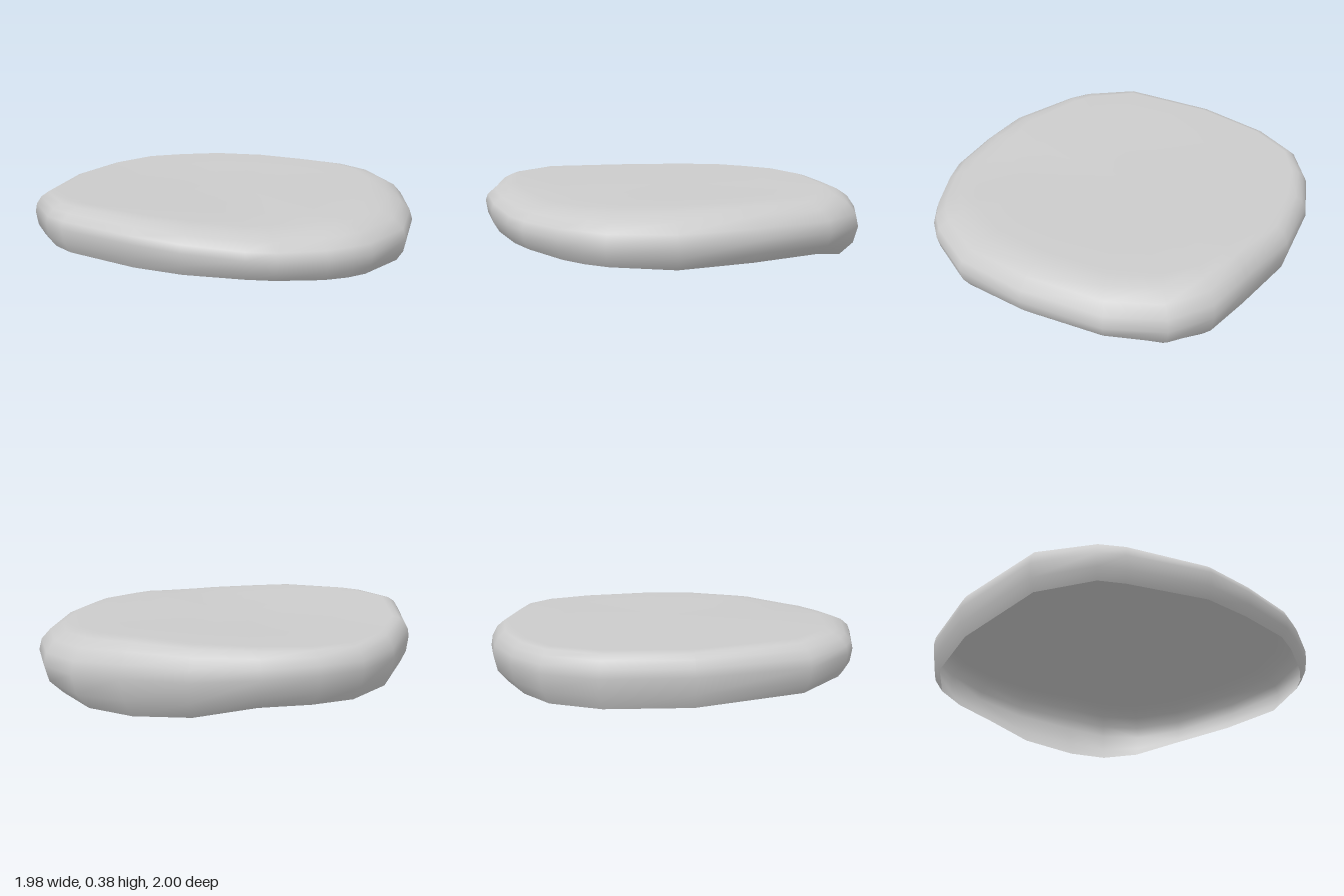
import * as THREE from 'three';

// Rim stations, counter-clockwise from the left side: x, z, widest height, lower edge height, top height
const RIM = [
  [0.985, 0.19, 0.19, 0.01, 0.36], [0.94, 0.42, 0.19, 0.04, 0.355], [0.76, 0.65, 0.2, 0.09, 0.35],
  [0.4, 0.87, 0.21, 0.1, 0.35], [0.04, 0.998, 0.21, 0.1, 0.345], [-0.27, 0.98, 0.21, 0.11, 0.34],
  [-0.38, 0.945, 0.22, 0.115, 0.34], [-0.49, 0.88, 0.22, 0.12, 0.335], [-0.67, 0.73, 0.23, 0.135, 0.335],
  [-0.76, 0.63, 0.24, 0.145, 0.34], [-0.89, 0.37, 0.26, 0.15, 0.355], [-0.97, 0.14, 0.28, 0.16, 0.37],
  [-0.99, -0.27, 0.28, 0.16, 0.38], [-0.97, -0.4, 0.28, 0.165, 0.38], [-0.82, -0.66, 0.27, 0.145, 0.38],
  [-0.35, -0.91, 0.26, 0.115, 0.365], [0.06, -1, 0.25, 0.105, 0.36], [0.34, -0.975, 0.25, 0.1, 0.36],
  [0.53, -0.86, 0.25, 0.1, 0.36], [0.71, -0.67, 0.24, 0.095, 0.365], [0.86, -0.39, 0.22, 0.035, 0.365],
  [0.93, -0.06, 0.2, 0, 0.365],
];
const CENTRE_Y = 0.35;

// Section of one station from lower edge to top, as [scale towards the centre, height]
function section([x, z, mid, low, top]) {
  const inset = 0.04 + 0.05 * Math.max(0, x);
  const roll = 0.16 + 0.08 * z;
  const points = [[1 - inset, low], [1 - inset * 0.25, low + (mid - low) * 0.45]];
  for (const degrees of [0, 22, 45, 67, 90]) {
    const t = THREE.MathUtils.degToRad(degrees);
    points.push([1 - roll * (1 - Math.cos(t)), mid + (top - mid) * Math.sin(t)]);
  }
  for (const s of [0.6, 0.3]) points.push([s, THREE.MathUtils.lerp(CENTRE_Y, top, s * 0.8)]);
  return points;
}

export function createModel() {
  const group = new THREE.Group();
  const positions = [], index = [];
  const n = RIM.length;
  const sections = RIM.map(section);
  const rings = sections[0].length;

  // Rings from the open lower edge up to the nearly flat top
  for (let r = 0; r < rings; r++) {
    RIM.forEach(([x, z], i) => {
      const [s, y] = sections[i][r];
      positions.push(x * s, y, z * s);
    });
  }
  positions.push(0, CENTRE_Y, 0);

  for (let i = 0; i < n; i++) {
    const j = (i + 1) % n;
    for (let r = 0; r < rings - 1; r++) {
      const a = r * n + i, b = r * n + j;
      index.push(a, a + n, b, b, a + n, b + n);
    }
    index.push((rings - 1) * n + i, rings * n, (rings - 1) * n + j);
  }

  const geometry = new THREE.BufferGeometry();
  geometry.setAttribute('position', new THREE.Float32BufferAttribute(positions, 3));
  geometry.setIndex(index);
  geometry.computeVertexNormals();

  // Thin stone shell, open underneath
  const shell = new THREE.Mesh(
    geometry,
    new THREE.MeshStandardMaterial({ color: 0xcccccc, side: THREE.DoubleSide })
  );
  shell.name = 'stoneShell';
  group.add(shell);
  return group;
}
